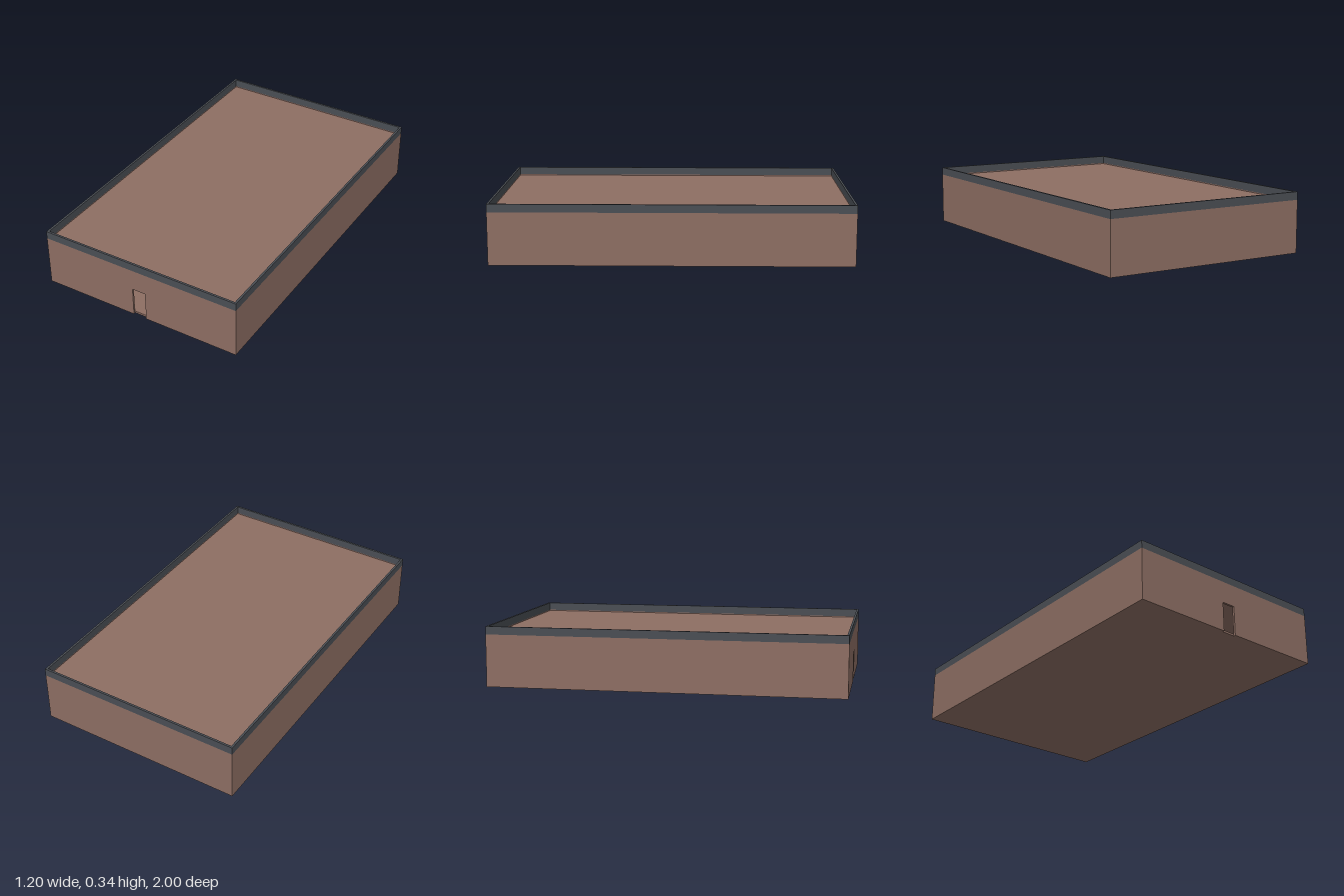
import * as THREE from 'three';

const W = 1.2, L = 2, T = 0.012;        // footprint and wall thickness
const WALL_H = 0.295, TOP = 0.34;       // wall top and parapet top
const DOOR_W = 0.08, DOOR_H = 0.17;

export function createModel() {
  const model = new THREE.Group();
  const brown = new THREE.MeshStandardMaterial({ color: 0x8d6e63 });
  brown.name = 'clay brown';
  const grey = new THREE.MeshStandardMaterial({ color: 0x4a4e54 });
  grey.name = 'slate grey';

  const add = (name, geometry, material, x, y, z) => {
    const mesh = new THREE.Mesh(geometry, material);
    mesh.name = name;
    mesh.position.set(x, y, z);
    model.add(mesh);
    return mesh;
  };
  const box = (name, w, h, d, material, x, y, z) =>
    add(name, new THREE.BoxGeometry(w, h, d), material, x, y + h / 2, z);

  // Front wall with a door opening reaching the ground
  const front = new THREE.Shape([
    [-W / 2, 0], [-DOOR_W / 2, 0], [-DOOR_W / 2, DOOR_H], [DOOR_W / 2, DOOR_H],
    [DOOR_W / 2, 0], [W / 2, 0], [W / 2, WALL_H], [-W / 2, WALL_H],
  ].map(([x, y]) => new THREE.Vector2(x, y)));
  add('frontWall', new THREE.ExtrudeGeometry(front, { depth: T, bevelEnabled: false }),
    brown, 0, 0, L / 2 - T);

  // Back and side walls
  box('backWall', W, WALL_H, T, brown, 0, 0, -L / 2 + T / 2);
  for (const [name, s] of [['leftWall', 1], ['rightWall', -1]]) {
    box(name, T, WALL_H, L - 2 * T, brown, s * (W / 2 - T / 2), 0, 0);
  }

  // Floor and flat roof slabs fitted between the walls
  box('floor', W - 2 * T, T, L - 2 * T, brown, 0, 0, 0);
  box('roof', W - 2 * T, T, L - 2 * T, brown, 0, 0.29 - T, 0);

  // Parapet band around the roof edge
  const rect = (Type, w, l) => new Type([
    [-w, -l], [w, -l], [w, l], [-w, l],
  ].map(([x, y]) => new THREE.Vector2(x / 2, y / 2)));
  const ring = rect(THREE.Shape, W, L);
  ring.holes.push(rect(THREE.Path, W - 2 * T, L - 2 * T));
  const band = new THREE.ExtrudeGeometry(ring, { depth: TOP - WALL_H, bevelEnabled: false });
  band.rotateX(-Math.PI / 2);
  add('parapet', band, grey, 0, WALL_H, 0);

  return model;
}
